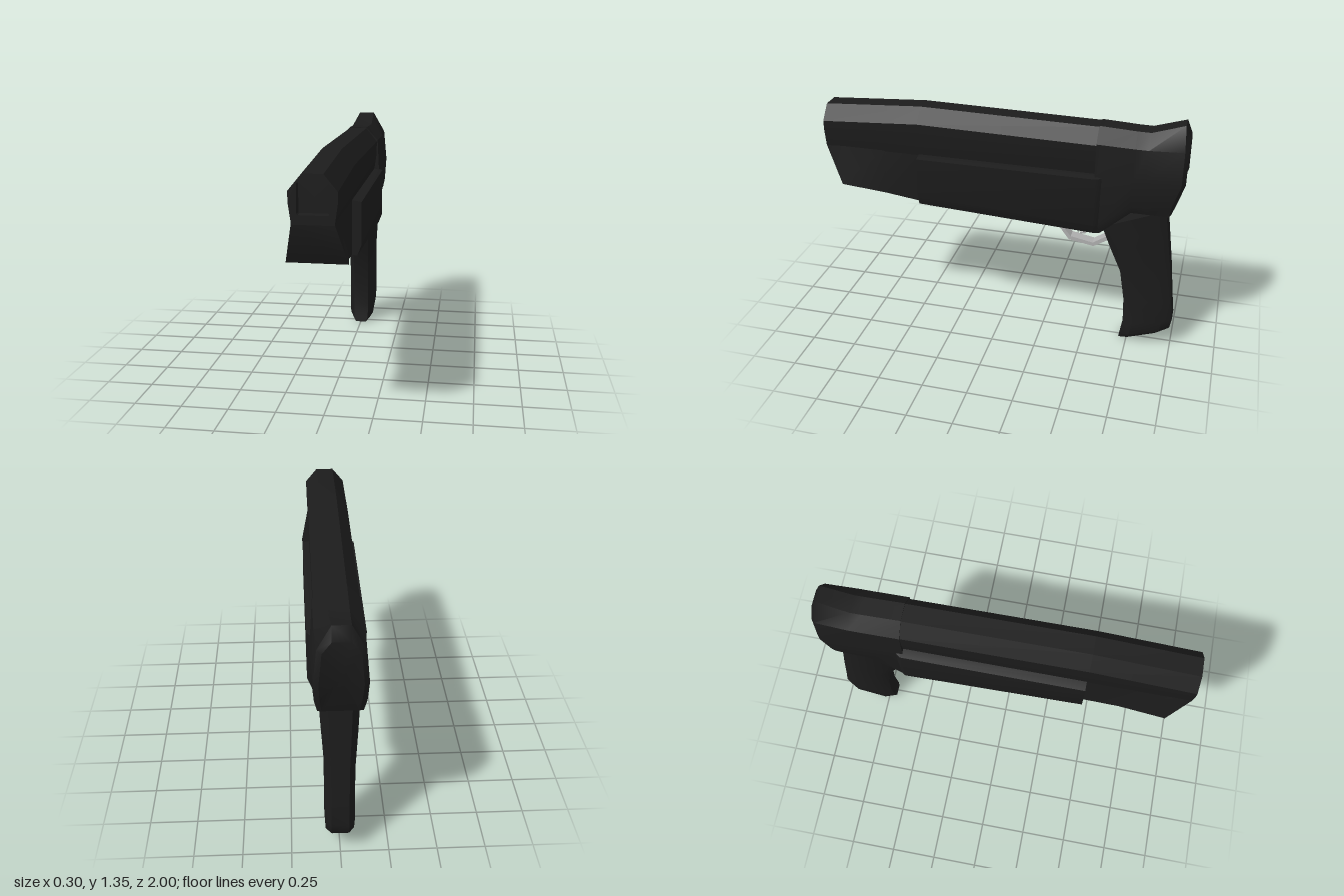
import * as THREE from 'three';
import { toCreasedNormals } from 'three/addons/utils/BufferGeometryUtils.js';

// Skin a list of rings (arrays of [x, y, z]) and close both ends.
function loft(rings, crease = 0.6) {
  const n = rings[0].length, pos = rings.flat(2), idx = [];
  for (let i = 0; i < rings.length - 1; i++) {
    for (let j = 0; j < n; j++) {
      const a = i * n + j, b = i * n + (j + 1) % n;
      idx.push(a, b, a + n, b, b + n, a + n);
    }
  }
  const cap = (ring, base, flip) => {
    const c = pos.length / 3;
    for (let k = 0; k < 3; k++) pos.push(ring.reduce((s, p) => s + p[k], 0) / n);
    for (let j = 0; j < n; j++) {
      const a = base + j, b = base + (j + 1) % n;
      if (flip) idx.push(c, b, a); else idx.push(c, a, b);
    }
  };
  cap(rings[0], 0, true);
  cap(rings[rings.length - 1], (rings.length - 1) * n, false);
  const g = new THREE.BufferGeometry();
  g.setAttribute('position', new THREE.Float32BufferAttribute(pos, 3));
  g.setIndex(idx);
  return toCreasedNormals(g, crease);
}

// Mirror a half profile (top to bottom, [x, y, optional z]) into a full ring.
function ring(z, half) {
  const right = half.map(([x, y, pz = z]) => [x, y, pz]);
  return [...right, ...right.map(([x, y, pz]) => [-x, y, pz]).reverse()];
}

// Side outline in (z, y), extruded symmetrically across x.
function sidePlate(points, halfWidth) {
  const shape = new THREE.Shape(points.map(([z, y]) => new THREE.Vector2(z, y)));
  const g = new THREE.ExtrudeGeometry(shape, { depth: halfWidth * 2, bevelEnabled: false });
  return g.rotateY(-Math.PI / 2).translate(halfWidth, 0, 0);
}

export function createModel() {
  const model = new THREE.Group();
  const black = new THREE.MeshStandardMaterial({ color: 0x1c1c1c });
  black.name = 'matte black';
  const steel = new THREE.MeshStandardMaterial({ color: 0xb0b0b0 });
  steel.name = 'light steel';
  const add = (name, geometry, material = black) => {
    const mesh = new THREE.Mesh(geometry, material);
    mesh.name = name;
    model.add(mesh);
  };

  // Upper slide, starting at the floor of the square muzzle recess
  const recess = [[0.07, 1.24], [0.075, 1.235], [0.075, 1.095], [0.07, 1.09]];
  const slide = (top) => [[0.05, top], [0.115, top - 0.08], [0.115, 1.15], [0.1, 1.045]];
  add('slide', loft([
    ring(0.95, recess), ring(1, recess),
    ring(1, slide(1.28)), ring(0.45, slide(1.315)), ring(-0.56, slide(1.3)),
  ]));

  // Flared lower nose under the slide
  add('lowerNose', loft([
    ring(1, [[0.1, 1.06, 0.999], [0.1, 1.05]]),
    ring(0.9, [[0.1, 1.06], [0.15, 0.84]]),
    ring(0.65, [[0.1, 1.06], [0.115, 0.80]]),
    ring(0.44, [[0.1, 1.06], [0.1, 0.765]]),
  ]));

  // Wide middle frame with side panels
  add('middleFrame', loft([
    ring(0.45, [[0.1, 1.055], [0.15, 1.045], [0.15, 0.82], [0.13, 0.765]]),
    ring(-0.54, [[0.1, 1.055], [0.15, 1.045], [0.15, 0.77], [0.13, 0.717]]),
    ring(-0.57, [[0.1, 1.055], [0.13, 1.045], [0.13, 0.77], [0.12, 0.716]]),
  ]));

  // Rear housing with raised back edge
  add('rearHousing', loft([
    ring(-0.53, [[0.05, 1.306], [0.12, 1.23], [0.13, 1.05], [0.135, 0.77, -0.56], [0.12, 0.715, -0.57]]),
    ring(-0.73, [[0.05, 1.296], [0.12, 1.225], [0.135, 1.05], [0.13, 0.9], [0.11, 0.855]]),
    ring(-0.8, [[0.05, 1.295], [0.12, 1.225], [0.135, 1.05], [0.13, 0.9], [0.11, 0.855]]),
    ring(-0.97, [[0.045, 1.35], [0.113, 1.23, -0.98], [0.13, 1.05, -0.98], [0.125, 0.92, -0.94], [0.11, 0.855, -0.93]]),
    ring(-1, [[0.045, 1.28], [0.09, 1.22], [0.105, 1.05], [0.1, 0.95, -0.97], [0.09, 0.86, -0.94]]),
  ]));

  // Grip: each row is front z, front y, back z, back y, half width
  const gripRows = [
    [-0.57, 0.74, -0.91, 0.88, 0.1], [-0.63, 0.59, -0.935, 0.7, 0.09],
    [-0.69, 0.45, -0.963, 0.5, 0.077], [-0.72, 0.27, -0.985, 0.3, 0.075],
    [-0.725, 0.12, -1, 0.18, 0.076], [-0.71, 0.03, -0.99, 0.12, 0.073],
    [-0.705, 0, -0.965, 0.095, 0.055],
  ];
  const corner = [[1, -0.6], [1, 0.6], [0.6, 1], [-0.6, 1], [-1, 0.6], [-1, -0.6], [-0.6, -1], [0.6, -1]];
  add('grip', loft(gripRows.map(([fz, fy, bz, by, w]) => corner.map(([u, t]) => {
    const k = (1 - t) / 2;
    return [u * w, fy + (by - fy) * k, fz + (bz - fz) * k];
  })), 0.9));

  // Trigger guard and trigger
  add('triggerGuard', sidePlate([
    [-0.315, 0.74], [-0.33, 0.68], [-0.39, 0.602], [-0.53, 0.578], [-0.62, 0.635], [-0.64, 0.68],
    [-0.615, 0.66], [-0.525, 0.6], [-0.4, 0.623], [-0.347, 0.685], [-0.335, 0.74],
  ], 0.03), steel);
  add('trigger', sidePlate([
    [-0.475, 0.74], [-0.488, 0.68], [-0.475, 0.655], [-0.45, 0.648],
    [-0.45, 0.64], [-0.48, 0.645], [-0.5, 0.675], [-0.51, 0.74],
  ], 0.016), steel);

  return model;
}
